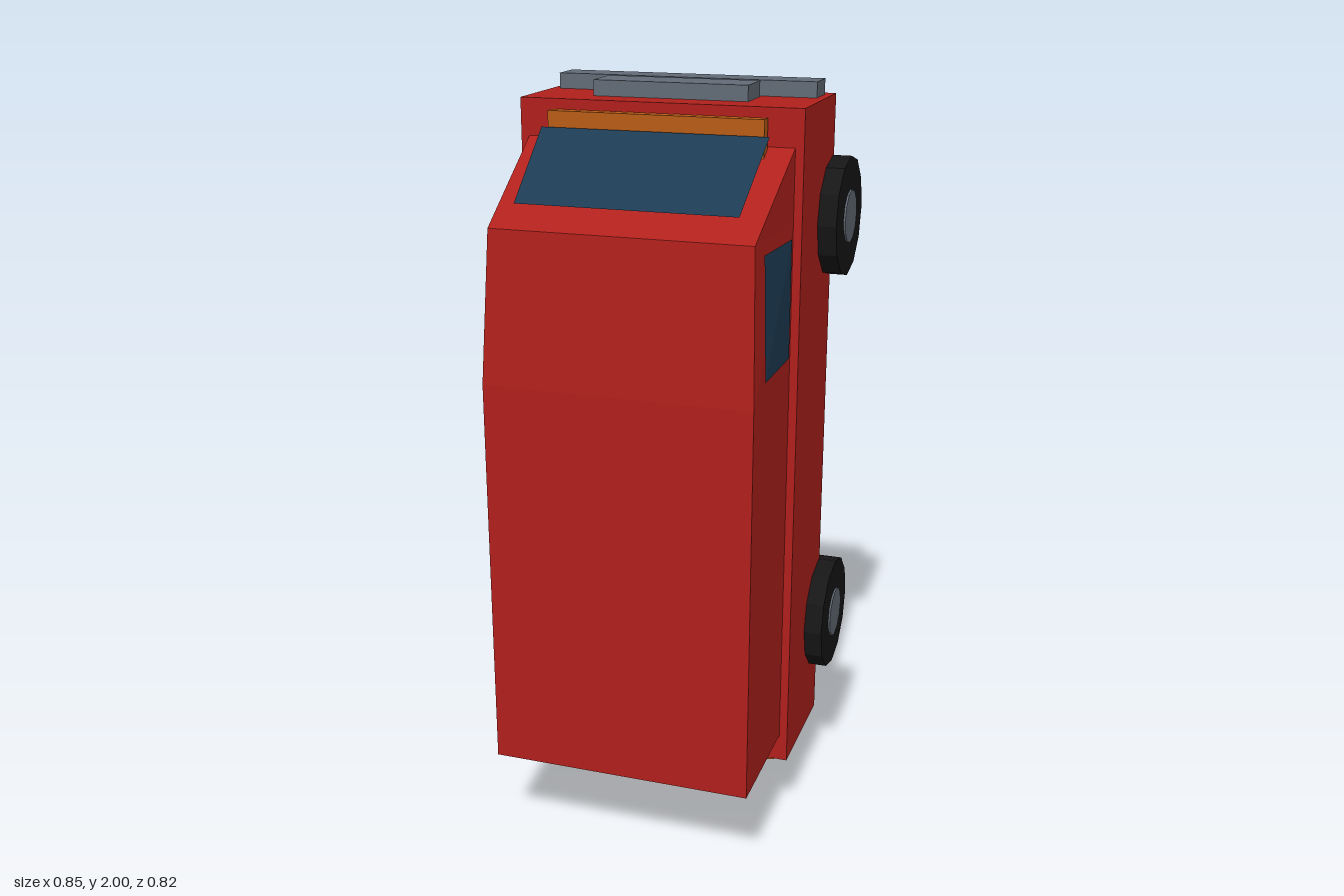
import * as THREE from 'three';

const mat = (color, extra = {}) => new THREE.MeshStandardMaterial({ color, flatShading: true, ...extra });
const red = mat(0xb0201c);
const glass = mat(0x1c3c54, { side: THREE.DoubleSide });
const steel = mat(0x626b76);
const wood = mat(0xb85c16);
const rubber = mat(0x161616);

export function createModel() {
  const model = new THREE.Group();

  const add = (name, geometry, material) => {
    const mesh = new THREE.Mesh(geometry, material);
    mesh.name = name;
    model.add(mesh);
    return mesh;
  };
  // Box given by its limits on each axis
  const box = (name, material, [x0, x1], [y0, y1], [z0, z1]) =>
    add(name, new THREE.BoxGeometry(x1 - x0, y1 - y0, z1 - z0), material)
      .position.set((x0 + x1) / 2, (y0 + y1) / 2, (z0 + z1) / 2);
  // Flat faces from a list of four-cornered polygons
  const quads = (list) => {
    const pos = [];
    for (const [a, b, c, d] of list) pos.push(...a, ...b, ...c, ...a, ...c, ...d);
    const g = new THREE.BufferGeometry();
    g.setAttribute('position', new THREE.Float32BufferAttribute(pos, 3));
    g.computeVertexNormals();
    return g;
  };

  // Lower body of the van, which stands on its tail
  box('lowerBody', red, [-0.37, 0.37], [0.18, 1.96], [-0.262, 0.072]);

  // Cabin: rectangular sections stacked along y as [y, roof z, roof half width]
  const sections = [[0.255, 0.41, 0.348], [1.3, 0.41, 0.348], [1.685, 0.375, 0.334], [1.865, 0.072, 0.348]]
    .map(([y, z, w]) => [[-0.348, y, 0.072], [-w, y, z], [w, y, z], [0.348, y, 0.072]]);
  const faces = [[...sections[0]].reverse()];
  for (let i = 0; i < 3; i++) {
    const lo = sections[i], hi = sections[i + 1];
    for (let k = 0; k < 4; k++) {
      const n = (k + 1) % 4;
      faces.push([lo[k], lo[n], hi[n], hi[k]]);
    }
  }
  add('cabin', quads(faces), red);

  // Windows
  add('windshield', quads([[
    [-0.283, 1.74, 0.33], [0.283, 1.74, 0.33], [0.295, 1.895, 0.118], [-0.295, 1.895, 0.118],
  ]]), glass);
  for (const s of [-1, 1]) {
    const corners = [[s * 0.36, 1.355, 0.355], [s * 0.36, 1.355, 0.13], [s * 0.36, 1.655, 0.13], [s * 0.345, 1.655, 0.33]];
    add(s > 0 ? 'leftWindow' : 'rightWindow', quads([s > 0 ? corners : corners.reverse()]), glass);
  }

  // Trim
  box('windshieldBar', wood, [-0.28, 0.28], [1.835, 1.935], [0.08, 0.112]);
  box('frontBumper', steel, [-0.348, 0.348], [1.95, 2.0], [-0.228, -0.14]);
  box('grille', steel, [-0.204, 0.204], [1.95, 2.0], [-0.124, -0.012]);
  box('rearBumper', steel, [-0.348, 0.348], [0.143, 0.19], [-0.228, -0.143]);

  // Wheels with hubs
  const tire = new THREE.CylinderGeometry(0.158, 0.158, 0.08, 12).rotateZ(Math.PI / 2);
  const hub = new THREE.CylinderGeometry(0.07, 0.07, 0.08, 12).rotateZ(Math.PI / 2);
  for (const s of [-1, 1]) {
    for (const y of [0.497, 1.645]) {
      const label = (y > 1 ? 'front' : 'rear') + (s > 0 ? 'Left' : 'Right');
      add(label + 'Tire', tire, rubber).position.set(s * 0.379, y, -0.253);
      add(label + 'Hub', hub, steel).position.set(s * 0.384, y, -0.253);
    }
  }

  // Post and plate on the underside
  add('post', new THREE.CylinderGeometry(0.037, 0.037, 0.29, 10), wood).position.set(0.24, 0.145, -0.248);
  box('postPlate', wood, [0.158, 0.318], [0.285, 0.525], [-0.301, -0.255]);

  return model;
}
